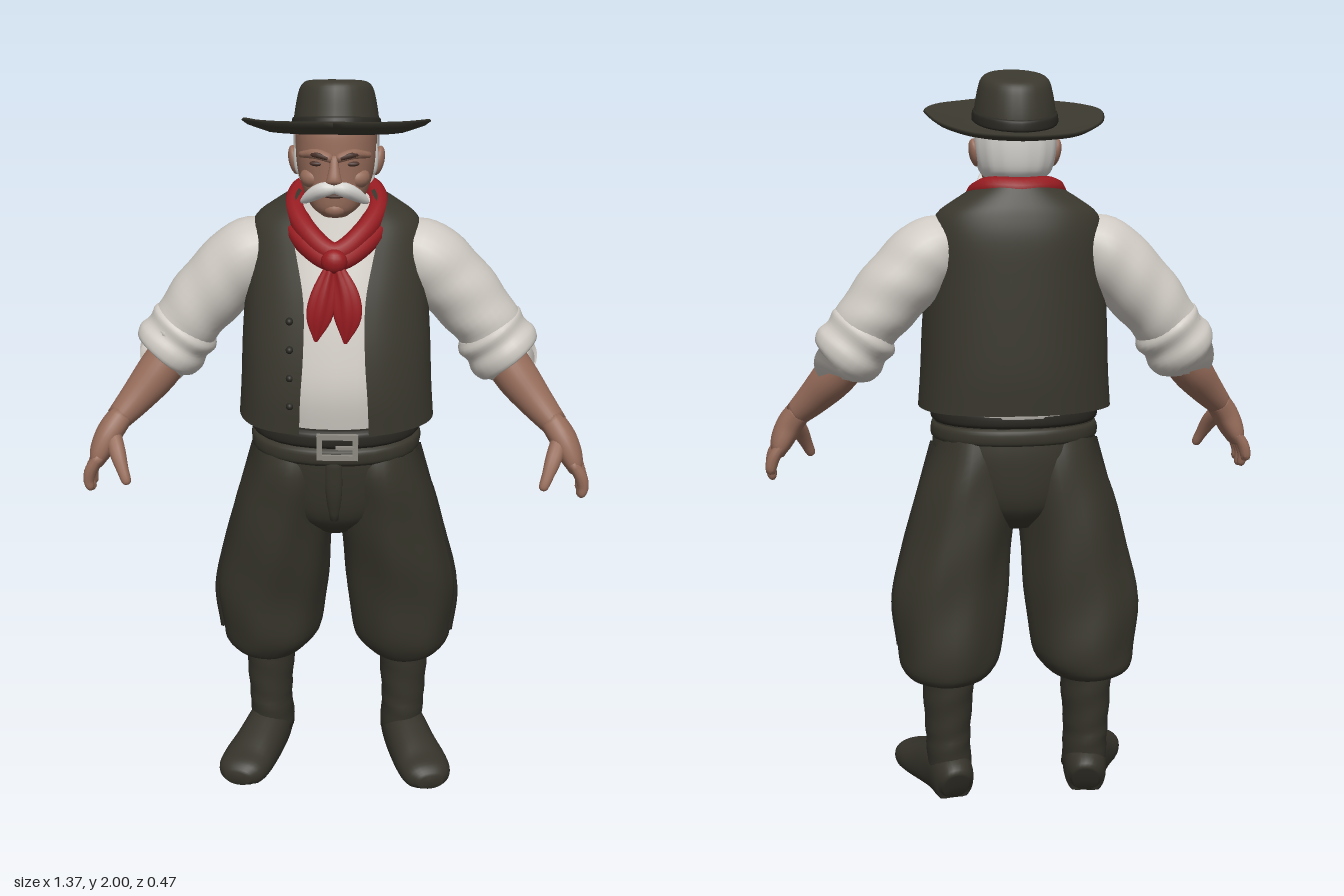
import * as THREE from 'three';

const mat = (name, color) => {
  const m = new THREE.MeshStandardMaterial({ color, side: THREE.DoubleSide });
  m.name = name;
  return m;
};

// Skin over elliptical rings. Row: [x, y, z, r1, r2, gap]; r2 runs along ref, r1 across it.
// gap is the half width of an opening at the front of the ring.
function loft(rows, { n = 28, steps = 4, ref = [0, 0, 1], dir = null, p = 1, fold = null, open = false } = {}) {
  const size = rows[0].length;
  const spline = new THREE.CubicInterpolant(rows.map((r, i) => i), rows.flat(), size);
  const count = (rows.length - 1) * steps + 1;
  const rings = Array.from({ length: count }, (_, i) => [...spline.evaluate(i / steps)]);
  const centre = rings.map(r => new THREE.Vector3(r[0], r[1], r[2]));
  const pos = [], idx = [], m = open ? n + 1 : n;
  const pw = v => Math.sign(v) * Math.abs(v) ** p;
  rings.forEach((r, i) => {
    const t = dir ? new THREE.Vector3(...dir)
      : centre[Math.min(i + 1, count - 1)].clone().sub(centre[Math.max(i - 1, 0)]).normalize();
    const b2 = new THREE.Vector3(...ref);
    b2.addScaledVector(t, -b2.dot(t)).normalize();
    const b1 = new THREE.Vector3().crossVectors(t, b2);
    const start = open ? Math.acos(-(Math.min(1, r[5] / r[3]) ** (1 / p))) : 0;
    const sweep = open ? 3 * Math.PI - 2 * start : 2 * Math.PI;
    for (let j = 0; j < m; j++) {
      const a = start + sweep * j / n;
      const f = fold ? fold(a, i / (count - 1)) : 1;
      const v = centre[i].clone().addScaledVector(b1, pw(Math.cos(a)) * r[3] * f)
        .addScaledVector(b2, pw(Math.sin(a)) * r[4] * f);
      pos.push(v.x, v.y, v.z);
    }
  });
  for (let i = 0; i < count - 1; i++) for (let j = 0; j < n; j++) {
    const a = i * m + j, b = i * m + (j + 1) % m;
    idx.push(a, a + m, b, b, a + m, b + m);
  }
  if (!open) {
    const c = pos.length / 3, last = (count - 1) * m;
    [centre[0], centre[count - 1]].forEach(v => pos.push(v.x, v.y, v.z));
    for (let j = 0; j < n; j++) {
      idx.push(c, j, (j + 1) % n);
      idx.push(c + 1, last + (j + 1) % n, last + j);
    }
  }
  const g = new THREE.BufferGeometry();
  g.setAttribute('position', new THREE.Float32BufferAttribute(pos, 3));
  g.setIndex(idx);
  g.computeVertexNormals();
  return g;
}

export function createModel() {
  const model = new THREE.Group();
  const cloth = mat('dark cloth', 0x3a382e), trouser = mat('trouser cloth', 0x37352b);
  const leather = mat('black leather', 0x2a2822), boot = mat('boot leather', 0x35332a);
  const shirtWhite = mat('shirt white', 0xcfcac3), skin = mat('skin', 0x966c5a);
  const red = mat('scarf red', 0x961b20), hair = mat('white hair', 0xd6d4d0);
  const steel = mat('steel', 0x8c8a82), shade = mat('dark brown', 0x4a332b);

  const add = (name, geo, material, parent = model) => {
    const mesh = new THREE.Mesh(geo, material);
    mesh.name = name;
    parent.add(mesh);
    return mesh;
  };
  const ball = (name, material, at, scale) => {
    const mesh = add(name, new THREE.SphereGeometry(1, 16, 12), material);
    mesh.position.set(...at);
    mesh.scale.set(...scale);
    return mesh;
  };
  const flip = (rows, s) => rows.map(([x, ...rest]) => [x * s, ...rest]);
  const up = [0, 1, 0];

  // Torso
  add('shirt', loft([
    [0, 1.07, .01, .21, .175], [0, 1.2, .01, .225, .19], [0, 1.32, .0, .225, .178], [0, 1.45, -.02, .215, .16],
    [0, 1.56, -.04, .2, .135], [0, 1.63, -.04, .15, .11], [0, 1.69, -.03, .085, .08]], { dir: up, p: .9 }), shirtWhite);
  add('vest', loft([
    [0, 1.1, .015, .264, .198, .092], [0, 1.2, .013, .257, .204, .088], [0, 1.32, .004, .252, .196, .08],
    [0, 1.45, -.014, .243, .177, .08], [0, 1.56, -.035, .234, .153, .1], [0, 1.625, -.045, .216, .13, .115],
    [0, 1.665, -.05, .165, .11, .115], [0, 1.705, -.05, .1, .09, .09]],
    { dir: up, p: .88, open: true, n: 48, fold: (a, t) => 1 + .008 * Math.sin(6 * a) * (1 - t) }), cloth);
  for (let i = 0; i < 4; i++) ball('vestButton', leather, [-.115, 1.18 + i * .075, .2 - i * .008], [.01, .01, .012]);

  // Waist
  add('hips', loft([[0, .77, .01, .06, .1], [0, .84, .01, .17, .16], [0, .96, .015, .225, .178],
    [0, 1.04, .02, .222, .178], [0, 1.09, .02, .218, .175]], { dir: up, p: .9 }), trouser);
  for (const y of [1.035, 1.085])
    add('waistBand', loft([[0, y - .026, .022, .217, .176], [0, y - .014, .022, .23, .188],
      [0, y + .014, .022, .23, .188], [0, y + .026, .022, .217, .176]], { dir: up, p: .9 }), y < 1.05 ? trouser : leather);
  const frame = new THREE.Shape([[-.055, -.036], [.055, -.036], [.055, .036], [-.055, .036]].map(q => new THREE.Vector2(...q)));
  frame.holes.push(new THREE.Path([[-.04, -.022], [-.04, .022], [.04, .022], [.04, -.022]].map(q => new THREE.Vector2(...q))));
  add('buckle', new THREE.ExtrudeGeometry(frame, { depth: .012, bevelEnabled: false }), steel).position.set(.01, 1.07, .206);
  add('bucklePin', new THREE.BoxGeometry(.05, .008, .01), steel).position.set(.03, 1.07, .216);
  add('fly', loft([[0, .84, .165, .012, .012], [0, .93, .19, .022, .012], [0, 1.03, .2, .022, .01]]), trouser);

  for (const s of [1, -1]) {
    // Baggy trouser leg
    const puff = (a, t) => 1 + (.022 * Math.sin(7 * a + 5 * t) + .015 * Math.sin(24 * t + 3 * Math.cos(a))) * Math.sin(Math.PI * t);
    add('trouserLeg', loft(flip([
      [.196, .335, -.04, .085, .1], [.198, .36, -.048, .12, .14], [.188, .42, -.04, .144, .16], [.186, .55, -.028, .157, .162],
      [.165, .7, -.01, .15, .17], [.137, .85, .005, .137, .176], [.116, .97, .02, .118, .172], [.11, 1.05, .02, .105, .15]], s),
      { dir: up, fold: puff, n: 36 }), trouser);
    const seam = [[.226, 1.0], [.268, .85], [.31, .7], [.34, .55], [.327, .42]].map(q => new THREE.Vector3(s * q[0], q[1], .01));
    add('sideSeam', new THREE.TubeGeometry(new THREE.CatmullRomCurve3(seam), 24, .009, 6), leather);

    // Boot with a splayed foot and flat sole
    add('bootShaft', loft(flip([[.192, .06, -.05, .062, .083], [.196, .14, -.047, .062, .088], [.197, .2, -.048, .064, .086],
      [.196, .29, -.05, .07, .09], [.195, .37, -.05, .074, .094]], s),
      { dir: up, fold: (a, t) => 1 + .018 * Math.sin(26 * t + 2 * Math.cos(a)) }), boot);
    const foot = loft(flip([[.183, .045, -.14, .035, .045], [.187, .055, -.115, .056, .07], [.2, .06, -.03, .064, .08],
      [.228, .045, .06, .07, .068], [.256, .032, .13, .075, .052], [.272, .028, .18, .066, .042], [.28, .026, .21, .035, .022]], s),
      { ref: up, p: .9 });
    const fp = foot.attributes.position;
    for (let i = 0; i < fp.count; i++) fp.setY(i, Math.max(fp.getY(i), 0));
    foot.computeVertexNormals();
    add('bootFoot', foot, boot);

    // Sleeve with a rolled cuff
    add('sleeve', loft(flip([[.13, 1.56, -.04, .05, .07], [.22, 1.53, -.04, .096, .104], [.3, 1.46, -.045, .1, .107],
      [.38, 1.37, -.045, .094, .103], [.44, 1.285, -.04, .085, .095]], s),
      { steps: 6, fold: (a, t) => 1 + .03 * t * Math.sin(26 * t + 2.5 * Math.cos(a)) }), shirtWhite);
    add('rolledCuff', loft(flip([[.398, 1.335, -.043, .08, .088], [.412, 1.316, -.042, .1, .106], [.432, 1.29, -.04, .094, .1],
      [.452, 1.263, -.037, .102, .107], [.472, 1.238, -.034, .09, .096], [.474, 1.236, -.033, .055, .058]], s),
      { fold: a => 1 + .02 * Math.sin(4 * a) }), shirtWhite);

    // Forearm and hand
    add('forearm', loft(flip([[.43, 1.275, -.035, .058, .06], [.49, 1.195, -.008, .058, .062], [.545, 1.132, .025, .047, .05],
      [.595, 1.08, .058, .035, .041]], s)), skin);
    add('hand', loft(flip([[.58, 1.098, .048, .033, .04], [.615, 1.05, .072, .036, .054], [.64, 1.0, .08, .031, .062],
      [.65, .968, .082, .019, .057]], s), { p: .85 }), skin);
    for (let i = 0; i < 4; i++) {
      const z = .034 + i * .032, tip = [.915, .893, .888, .9][i];
      add('finger', loft(flip([[.637, 1.0, z, .014, .015], [.662, .962, z, .017, .017], [.671, .93, z, .015, .015],
        [.668, tip + .01, z + .002, .012, .012], [.666, tip, z + .002, .005, .005]], s), { n: 10, steps: 3 }), skin);
    }
    add('thumb', loft(flip([[.605, 1.055, .09, .022, .022], [.588, 1.015, .132, .023, .021], [.572, .975, .158, .017, .016],
      [.56, .945, .172, .013, .013], [.557, .937, .175, .005, .005]], s), { n: 12, steps: 3 }), skin);

    // Face details in pairs
    ball('ear', skin, [s * .108, 1.785, -.005], [.016, .038, .025]).rotation.set(-.2, 0, -s * .2);
    ball('cheek', skin, [s * .055, 1.765, .1], [.034, .028, .034]);
    ball('eye', shade, [s * .043, 1.807, .132], [.02, .007, .012]);
    add('browRidge', loft(flip([[.006, 1.822, .148, .011, .012], [.045, 1.832, .138, .013, .014], [.085, 1.822, .096, .008, .01]], s),
      { n: 10 }), skin);
    add('eyebrow', loft(flip([[.016, 1.824, .157, .004, .004], [.045, 1.832, .15, .007, .006], [.08, 1.826, .11, .003, .004]], s),
      { n: 8 }), shade);
    ball('sideburn', hair, [s * .097, 1.8, .03], [.012, .045, .018]);
    add('moustache', loft(flip([[-.004, 1.75, .162, .012, .014], [.025, 1.748, .162, .019, .017], [.055, 1.73, .143, .017, .015],
      [.078, 1.71, .122, .009, .009], [.086, 1.704, .112, .002, .002]], s), { n: 12 }), hair);
  }

  // Head
  add('neck', loft([[0, 1.56, -.03, .085, .085], [0, 1.65, -.015, .072, .075], [0, 1.75, 0, .075, .08]], { dir: up }), skin);
  add('head', loft([[0, 1.666, .08, .035, .045], [0, 1.688, .062, .064, .082], [0, 1.73, .037, .086, .112],
    [0, 1.78, .024, .1, .124], [0, 1.84, .02, .104, .127], [0, 1.9, .015, .1, .122], [0, 1.95, .01, .06, .08]],
    { dir: up, p: .92 }), skin);
  add('nose', loft([[0, 1.75, .145, .014, .008], [0, 1.762, .156, .023, .016], [0, 1.776, .162, .018, .015],
    [0, 1.805, .152, .012, .012], [0, 1.83, .14, .012, .01]], { dir: up, n: 14 }), skin);
  ball('mouth', shade, [0, 1.727, .148], [.026, .005, .006]);
  ball('chin', skin, [0, 1.69, .125], [.03, .022, .025]);
  add('backHair', loft([[0, 1.715, .0, .075, .085, .075], [0, 1.74, -.002, .098, .106, .098], [0, 1.8, -.004, .111, .114, .111],
    [0, 1.88, -.004, .109, .112, .109]], { dir: up, open: true, p: .92, fold: a => 1 + .012 * Math.sin(14 * a) }), hair);

  // Hat, tipped back
  const hat = new THREE.Group();
  hat.name = 'hat';
  hat.position.set(0, 1.862, 0);
  hat.rotation.x = -.21;
  model.add(hat);
  const profile = [[.09, -.012], [.17, -.01], [.225, .004], [.241, .014], [.236, .02], [.17, .004], [.09, .006]];
  const brim = new THREE.LatheGeometry(profile.map(q => new THREE.Vector2(...q)), 56);
  const bp = brim.attributes.position;
  for (let i = 0; i < bp.count; i++) {
    const a = Math.atan2(bp.getZ(i), bp.getX(i)), f = 1 + .01 * Math.sin(5 * a) + .006 * Math.sin(11 * a);
    bp.setXYZ(i, bp.getX(i) * f, bp.getY(i) + .012 * Math.cos(a) ** 2 * bp.getX(i) ** 2 / .058, bp.getZ(i) * f);
  }
  brim.computeVertexNormals();
  add('brim', brim, cloth, hat);
  add('crown', loft([[0, 0, 0, .112, .137], [0, .04, .002, .108, .129], [0, .085, .008, .1, .117], [0, .113, .012, .09, .104],
    [0, .125, .012, .07, .08], [0, .124, .012, .03, .035]], { dir: up, fold: (a, t) => 1 + .012 * t * Math.sin(3 * a) }), cloth, hat);
  add('hatBand', loft([[0, .006, 0, .114, .139], [0, .012, 0, .1155, .1405], [0, .03, 0, .1135, .136], [0, .035, 0, .108, .13]],
    { dir: up }), leather, hat);

  // Neck scarf: two rolls, a knot and two tails
  const roll = (name, pts, r) => add(name, new THREE.TubeGeometry(
    new THREE.CatmullRomCurve3(pts.map(q => new THREE.Vector3(...q)), true), 56, r, 10, true), red);
  roll('scarfRoll', [[0, 1.695, -.118], [.085, 1.695, -.085], [.108, 1.665, -.005], [.07, 1.615, .085], [0, 1.575, .135],
    [-.07, 1.615, .085], [-.108, 1.665, -.005], [-.085, 1.695, -.085]], .029);
  roll('scarfUnderRoll', [[0, 1.665, -.13], [.09, 1.665, -.1], [.122, 1.64, -.005], [.08, 1.59, .095], [0, 1.555, .145],
    [-.08, 1.59, .095], [-.122, 1.64, -.005], [-.09, 1.665, -.1]], .025);
  ball('scarfKnot', red, [0, 1.562, .165], [.034, .032, .026]);
  const pleat = a => 1 + .12 * Math.sin(5 * a);
  add('scarfTailLeft', loft([[.008, 1.55, .165, .014, .014], [.03, 1.48, .184, .032, .016], [.036, 1.42, .194, .032, .014],
    [.03, 1.355, .2, .004, .004]], { fold: pleat }), red);
  add('scarfTailRight', loft([[-.008, 1.55, .165, .014, .014], [-.026, 1.48, .184, .03, .016], [-.038, 1.42, .194, .03, .014],
    [-.046, 1.36, .2, .004, .004]], { fold: pleat }), red);
  return model;
}
